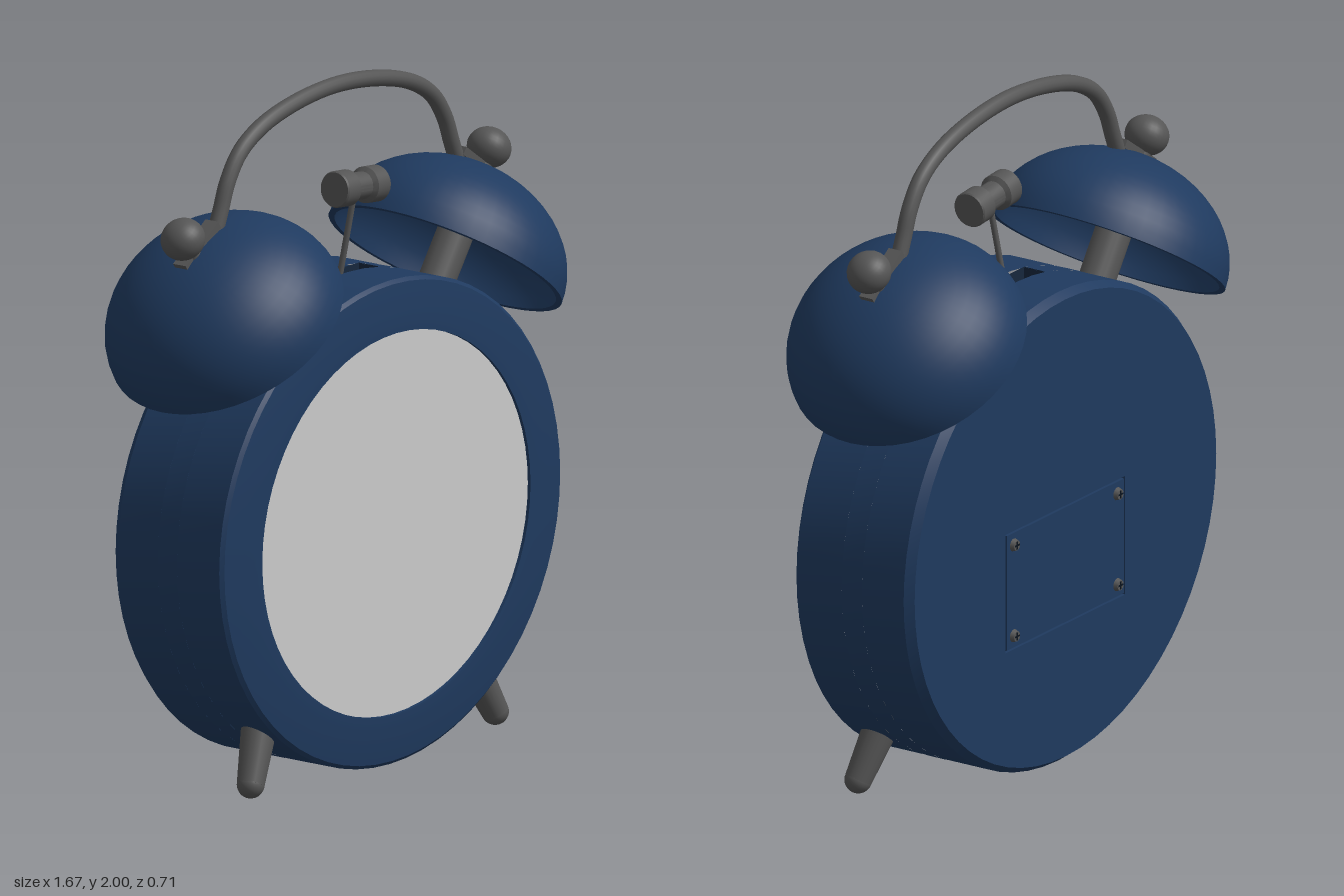
import * as THREE from 'three';
import { toCreasedNormals } from 'three/addons/utils/BufferGeometryUtils.js';

const paint = new THREE.MeshStandardMaterial({ color: 0x1f3a5f });
const paintShell = new THREE.MeshStandardMaterial({ color: 0x1f3a5f, side: THREE.DoubleSide });
const well = new THREE.MeshStandardMaterial({ color: 0x16273d, side: THREE.BackSide });
const groove = new THREE.MeshStandardMaterial({ color: 0x0c1520 });
const metal = new THREE.MeshStandardMaterial({ color: 0x555555 });
const dialGrey = new THREE.MeshStandardMaterial({ color: 0xcccccc });

const V = (x, y, z) => new THREE.Vector3(x, y, z);
const RX = 0.777, RY = 0.712; // half width and half height of the oval case

function add(parent, name, geometry, material, x = 0, y = 0, z = 0) {
  const mesh = new THREE.Mesh(geometry, material);
  mesh.name = name;
  mesh.position.set(x, y, z);
  parent.add(mesh);
  return mesh;
}

// Lathe from [radius, height] pairs with sharp edges kept
function turned(pairs, segments = 40, start = 0, length = Math.PI * 2) {
  const points = pairs.map(([r, h]) => new THREE.Vector2(r, h));
  return toCreasedNormals(new THREE.LatheGeometry(points, segments, start, length), 0.35);
}

// Oval ring of the case: the lathe axis becomes z
function ovalRing(pairs, start, length) {
  return turned(pairs, 64, start, length).rotateX(Math.PI / 2).scale(RX, RY, 1);
}

// Tapered rod from a to b
function rod(parent, name, a, b, rA, rB, material, sides = 20) {
  const dir = b.clone().sub(a);
  const mesh = add(parent, name, new THREE.CylinderGeometry(rB, rA, dir.length(), sides), material);
  mesh.position.copy(a).add(b).multiplyScalar(0.5);
  mesh.quaternion.setFromUnitVectors(V(0, 1, 0), dir.normalize());
  return mesh;
}

function makeCase() {
  const body = new THREE.Group();
  body.name = 'case';
  body.position.set(0.008, 0.716, 0);

  // Side wall in three bands; the middle one leaves a gap on top for the hammer slot
  const slot = 0.035, gap = 0.18;
  add(body, 'rearBand', ovalRing([[0.975, -0.205], [1, -0.18], [1, -slot]]), paint);
  add(body, 'middleBand', ovalRing([[1, -slot], [1, slot]], Math.PI + gap, 2 * (Math.PI - gap)), paint);
  add(body, 'frontBand', ovalRing([
    [1, slot], [1, 0.19], [0.985, 0.2], [0.84, 0.215], [0.787, 0.215], [0.787, 0.19],
  ]), paint);
  add(body, 'hammerSlot', new THREE.BoxGeometry(0.28, 0.1, 2 * slot), well, 0, RY - 0.06, 0);

  // Dial
  add(body, 'dial', new THREE.CircleGeometry(1, 64).scale(0.79 * RX, 0.79 * RY, 1), dialGrey, 0, 0, 0.205);

  // Back panel with an opening for the battery cover
  const w = 0.3, h = 0.18, cy = -0.112;
  const shape = new THREE.Shape();
  shape.absellipse(0, 0, 0.975 * RX, 0.975 * RY, 0, Math.PI * 2);
  const hole = new THREE.Path([[-w, -h], [-w, h], [w, h], [w, -h]]
    .map(([x, y]) => new THREE.Vector2(x, y + cy)));
  hole.closePath();
  shape.holes.push(hole);
  const panel = new THREE.ExtrudeGeometry(shape, { depth: 0.015, bevelEnabled: false, curveSegments: 32 });
  add(body, 'backPanel', panel, paint, 0, 0, -0.205);
  add(body, 'coverGroove', new THREE.BoxGeometry(2 * w + 0.02, 2 * h + 0.02, 0.01), groove, 0, cy, -0.188);
  add(body, 'batteryCover', new THREE.BoxGeometry(2 * w - 0.012, 2 * h - 0.012, 0.016), paint, 0, cy, -0.197);

  // Cross-head screws
  for (const sx of [-1, 1]) for (const sy of [-1, 1]) {
    const screw = new THREE.Group();
    screw.name = 'screw';
    screw.position.set(sx * 0.26, cy + sy * 0.138, -0.21);
    add(screw, 'screwHead', new THREE.CylinderGeometry(0.02, 0.015, 0.014, 16).rotateX(Math.PI / 2), metal);
    add(screw, 'screwSlot', new THREE.BoxGeometry(0.024, 0.005, 0.002), groove, 0, 0, -0.007);
    add(screw, 'screwSlot', new THREE.BoxGeometry(0.005, 0.024, 0.002), groove, 0, 0, -0.007);
    body.add(screw);
  }
  return body;
}

// Bell with post, handle foot and knob; s is +1 for the left side, -1 for the right
function makeBell(s) {
  const bell = new THREE.Group();
  bell.name = s > 0 ? 'leftBell' : 'rightBell';
  bell.position.set(s * 0.498, 1.368, 0);
  bell.rotation.z = -s * 0.606;

  const R = 0.357, H = 0.29, steps = 14, profile = [];
  for (let i = 0; i <= steps; i++) { // inner surface, apex to rim
    const a = (1 - i / steps) * Math.PI / 2;
    profile.push([(R - 0.018) * Math.cos(a), (H - 0.018) * Math.sin(a)]);
  }
  for (let i = 0; i <= steps; i++) { // outer surface, rim to apex
    const a = (i / steps) * Math.PI / 2;
    profile.push([R * Math.cos(a), H * Math.sin(a)]);
  }
  add(bell, 'dome', turned(profile, 48), paintShell);
  rod(bell, 'post', V(0, -0.16, 0), V(0, 0.28, 0), 0.054, 0.054, metal);
  add(bell, 'handleFoot', new THREE.BoxGeometry(0.18, 0.025, 0.046), metal, -s * 0.035, 0.288, 0);
  rod(bell, 'knobStem', V(0, 0.28, 0), V(0, 0.35, 0), 0.03, 0.03, metal);
  add(bell, 'knob', new THREE.SphereGeometry(0.065, 28, 18).scale(1, 0.9, 1), metal, 0, 0.351, 0);
  return bell;
}

// Foot with a rounded tip
function makeLeg(s) {
  const leg = new THREE.Group();
  leg.name = s > 0 ? 'leftLeg' : 'rightLeg';
  const tip = V(s * 0.557, 0.045, 0.135);
  rod(leg, 'legShaft', tip, V(s * 0.455, 0.25, 0.095), 0.04, 0.056, metal);
  add(leg, 'legTip', new THREE.SphereGeometry(0.04, 20, 14), metal, tip.x, tip.y, tip.z);
  return leg;
}

function makeHammer() {
  const hammer = new THREE.Group();
  hammer.name = 'hammer';
  rod(hammer, 'hammerRod', V(0.003, 1.36, 0), V(0.037, 1.67, 0.04), 0.009, 0.009, metal, 10);
  const spool = turned([
    [0, -0.098], [0.05, -0.098], [0.053, -0.093], [0.053, -0.04], [0.04, -0.03],
    [0.04, 0.03], [0.053, 0.04], [0.053, 0.093], [0.05, 0.098], [0, 0.098],
  ], 28);
  const head = add(hammer, 'hammerHead', spool, metal, 0.038, 1.676, 0.042);
  head.rotation.z = -Math.PI / 2 - 0.09;
  return hammer;
}

export function createModel() {
  const clock = new THREE.Group();
  clock.name = 'alarmClock';
  clock.add(makeCase(), makeHammer());
  for (const s of [-1, 1]) clock.add(makeBell(s), makeLeg(s));

  // Carrying handle between the bell tops
  const half = [[0.552, 1.645], [0.525, 1.71], [0.495, 1.785], [0.44, 1.86], [0.35, 1.915], [0.2, 1.957]];
  const path = new THREE.CatmullRomCurve3([
    ...half.map(([x, y]) => V(-x, y, 0)),
    V(0, 1.976, 0),
    ...half.slice().reverse().map(([x, y]) => V(x, y, 0)),
  ]);
  add(clock, 'handle', new THREE.TubeGeometry(path, 72, 0.024, 14), metal);
  return clock;
}
